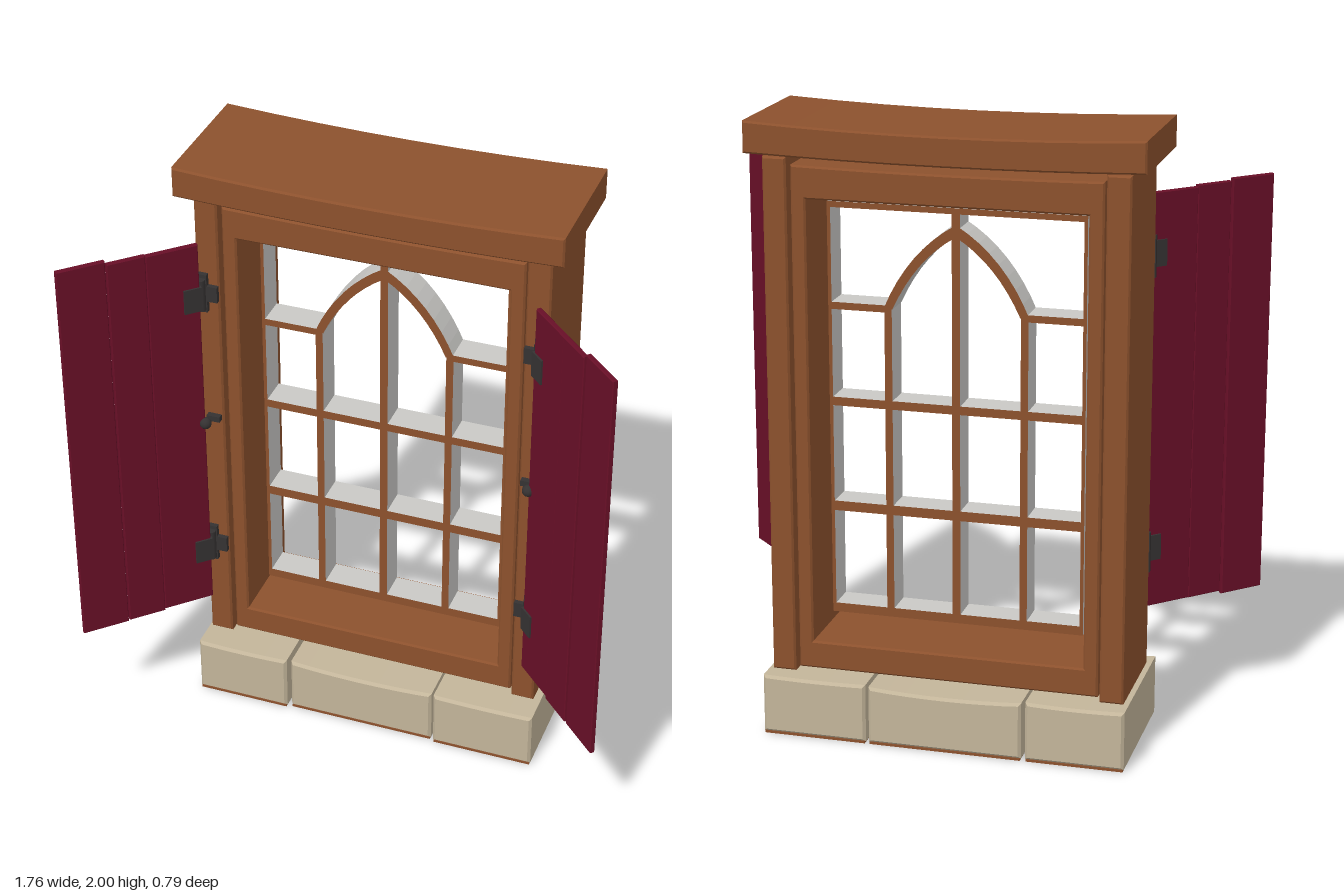
import * as THREE from 'three';

const mat = (name, color) => {
  const m = new THREE.MeshStandardMaterial({ color });
  m.name = name;
  return m;
};

export function createModel() {
  const wood = mat('brown wood', 0x8c512d);
  const stone = mat('sandstone', 0xc3b59a);
  const paint = mat('burgundy paint', 0x680f27);
  const iron = mat('dark iron', 0x353232);
  const pale = mat('pale edge', 0xc9c8c5);

  const root = new THREE.Group();
  root.name = 'window';

  const add = (parent, name, geometry, material, x = 0, y = 0, z = 0) => {
    const mesh = new THREE.Mesh(geometry, material);
    mesh.name = name;
    mesh.position.set(x, y, z);
    parent.add(mesh);
    return mesh;
  };

  // Four-cornered outline; the sags bend its top and bottom edges downwards
  const outline = (x0, x1, y0, y1, sagTop = 0, sagBottom = 0) => {
    const s = new THREE.Shape();
    const mid = (x0 + x1) / 2;
    s.moveTo(x0, y0);
    if (sagBottom) s.quadraticCurveTo(mid, y0 - 2 * sagBottom, x1, y0);
    else s.lineTo(x1, y0);
    s.lineTo(x1, y1);
    if (sagTop) s.quadraticCurveTo(mid, y1 - 2 * sagTop, x0, y1);
    else s.lineTo(x0, y1);
    s.closePath();
    return s;
  };

  // Extrusion between two z values with a small chamfer kept inside the outline
  const slab = (shape, z0, z1, bevel = 0.006) => {
    const g = new THREE.ExtrudeGeometry(shape, {
      depth: z1 - z0 - 2 * bevel, curveSegments: 8, bevelEnabled: bevel > 0,
      bevelThickness: bevel, bevelSize: bevel, bevelOffset: -bevel, bevelSegments: 1,
    });
    g.translate(0, 0, z0 + bevel);
    return g;
  };

  // Lintel, dipping in the middle
  add(root, 'lintel', slab(outline(-0.627, 0.62, 1.9, 2, 0.018, 0.012), -0.395, 0.06), wood);

  // Outer posts
  for (const s of [-1, 1]) {
    add(root, 'post', slab(outline(s * 0.537 - 0.038, s * 0.537 + 0.038, 0.21, 1.885), -0.35, 0.02), wood);
  }

  // Inner frame around the opening
  const ring = outline(-0.49, 0.49, 0.22, 1.86, 0.006);
  ring.holes.push(outline(-0.443, 0.443, 0.312, 1.755));
  add(root, 'innerFrame', slab(ring, -0.335, 0.005), wood);

  // Sill stones with brown undersides
  const stones = [
    [-0.588, -0.27, 0.2, 0.004],
    [-0.257, 0.245, 0.195, 0.01],
    [0.255, 0.597, 0.2, 0.003],
  ];
  stones.forEach(([x0, x1, top, sag], i) => {
    const front = i === 1 ? 0.096 : 0.105;
    add(root, 'sillStone', slab(outline(x0, x1, 0.006, top, sag), -0.392, front, 0.009), stone);
    add(root, 'stoneUnderside', new THREE.BoxGeometry(x1 - x0 - 0.006, 0.008, front + 0.384),
      wood, (x0 + x1) / 2, 0.004, (front - 0.392) / 2);
  });

  // Lattice: brown faces, pale edges
  const lattice = new THREE.Group();
  lattice.name = 'lattice';
  root.add(lattice);
  const Z0 = -0.215, Z1 = -0.115;
  const bar = (name, x0, x1, y0, y1) =>
    add(lattice, name, slab(outline(x0, x1, y0, y1), Z0, Z1, 0), [wood, pale]);

  bar('bottomRail', -0.413, 0.413, 0.374, 0.404);
  bar('lowerRail', -0.413, 0.413, 0.72, 0.752);
  bar('middleRail', -0.413, 0.413, 1.07, 1.098);
  bar('topRail', -0.413, 0.413, 1.709, 1.728);
  bar('centreBar', -0.013, 0.013, 0.39, 1.715);
  for (const s of [-1, 1]) {
    const span = (name, a, b, y0, y1) => bar(name, Math.min(s * a, s * b), Math.max(s * a, s * b), y0, y1);
    span('sideStile', 0.403, 0.414, 0.374, 1.728);
    span('archPost', 0.207, 0.231, 0.39, 1.4);
    span('shoulderRail', 0.21, 0.413, 1.384, 1.407);

    // Half of the pointed arch
    const arch = new THREE.Shape();
    arch.moveTo(s * 0.234, 1.395);
    arch.quadraticCurveTo(s * 0.155, 1.585, 0, 1.675);
    arch.lineTo(0, 1.637);
    arch.quadraticCurveTo(s * 0.13, 1.56, s * 0.205, 1.395);
    arch.closePath();
    add(lattice, 'archHalf', slab(arch, Z0, Z1, 0), [wood, pale]);
  }

  // Shutters, swung open at 45 degrees, each with three planks
  const planks = [
    [0, 0.172, 0.385, 1.752, 0],
    [0.174, 0.3, 0.382, 1.757, 0.004],
    [0.302, 0.46, 0.374, 1.766, -0.002],
  ];
  for (const s of [-1, 1]) {
    const shutter = new THREE.Group();
    shutter.name = s > 0 ? 'leftShutter' : 'rightShutter';
    shutter.position.set(s * 0.55, 0, 0.062);
    shutter.rotation.y = -s * Math.PI / 4;
    root.add(shutter);
    for (const [a, b, y0, y1, dz] of planks) {
      const shape = outline(Math.min(s * a, s * b), Math.max(s * a, s * b), y0, y1);
      add(shutter, 'plank', slab(shape, dz - 0.009, dz + 0.009, 0.003), paint);
    }

    // Hinges: plate on the post, barrel, and a leaf on each side of the shutter
    for (const y of [0.585, 1.558]) {
      add(root, 'hingePlate', new THREE.BoxGeometry(0.042, 0.135, 0.016), iron, s * 0.556, y, 0.028);
      add(root, 'hingeTab', new THREE.BoxGeometry(0.04, 0.055, 0.016), iron, s * 0.521, y, 0.028);
      add(root, 'hingeBarrel', new THREE.CylinderGeometry(0.014, 0.014, 0.11, 10), iron, s * 0.55, y, 0.045);
      add(shutter, 'hingeLeaf', new THREE.BoxGeometry(0.06, 0.085, 0.03), iron, s * 0.025, y, 0);
    }

    // Small latch knob halfway up
    add(root, 'latchPin', new THREE.BoxGeometry(0.045, 0.02, 0.02), iron, s * 0.53, 1.09, 0.03);
    add(root, 'latchKnob', new THREE.SphereGeometry(0.02, 10, 8), iron, s * 0.543, 1.09, 0.07);
  }

  return root;
}
